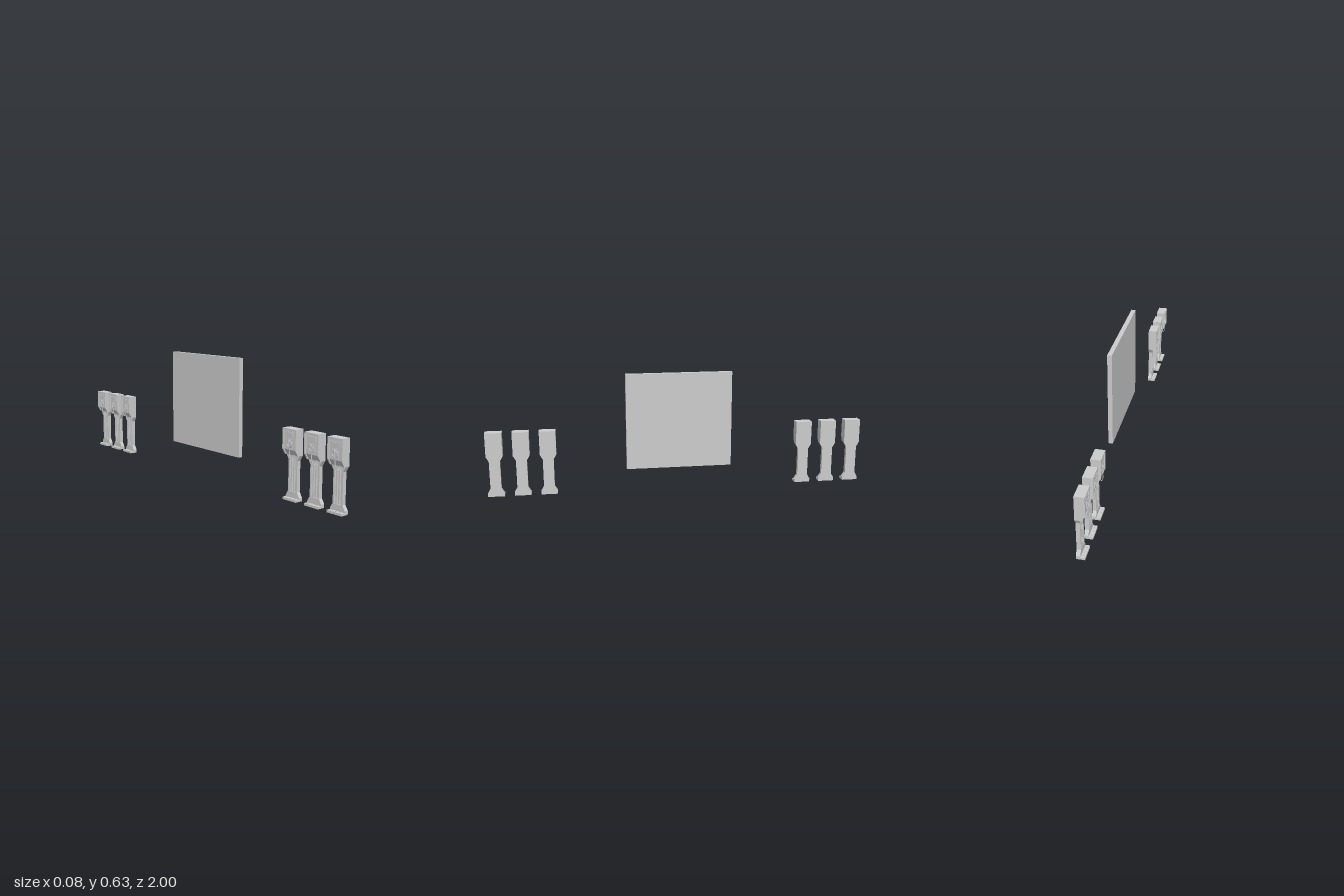
import * as THREE from 'three';

const mat = new THREE.MeshStandardMaterial({ color: 0xcccccc, flatShading: true });
const smooth = new THREE.MeshStandardMaterial({ color: 0xcccccc });
const W = 0.085; // full width of a post

function add(parent, name, geo, x = 0, y = 0, z = 0, m = mat) {
  const mesh = new THREE.Mesh(geo, m);
  mesh.name = name;
  mesh.position.set(x, y, z);
  parent.add(mesh);
  return mesh;
}

const box = (x, y, z) => new THREE.BoxGeometry(x, y, z);
const toShape = pts => new THREE.Shape(pts.map(p => new THREE.Vector2(...p)));
const extrude = (shape, depth) => new THREE.ExtrudeGeometry(shape, { depth, bevelEnabled: false });

// Outline drawn in z/y, extruded from xBack towards -x
const plate = (shape, depth, xBack) =>
  extrude(shape, depth).rotateY(-Math.PI / 2).translate(xBack, 0, 0);

function tube(points, radius) {
  const curve = new THREE.CatmullRomCurve3(points.map(p => new THREE.Vector3(...p)));
  return new THREE.TubeGeometry(curve, 32, radius, 8);
}

// Waisted outline of the pedestal
function columnShape() {
  const half = [[W / 2, 0], [W / 2, 0.018], [0.028, 0.042], [0.028, 0.19], [W / 2, 0.215], [W / 2, 0.225]];
  return toShape([...half, ...half.slice().reverse().map(([z, y]) => [-z, y])]);
}

// Side outline of the head, with a sloping chin
const headShape = front => toShape([
  [0.011, 0.215], [0.011, 0.34], [front, 0.34], [front, 0.242], [front + 0.016, 0.215],
]);

function createCharger() {
  const post = new THREE.Group();

  // Pedestal: solid back plate and a slotted front plate
  add(post, 'columnBack', plate(columnShape(), 0.012, 0.011));
  const slotted = columnShape();
  for (const z of [-0.0145, 0, 0.0145]) {
    slotted.holes.push(new THREE.Path([
      [z - 0.005, 0.04], [z - 0.005, 0.205], [z + 0.005, 0.205], [z + 0.005, 0.04],
    ].map(p => new THREE.Vector2(...p))));
  }
  add(post, 'columnFront', plate(slotted, 0.008, -0.001));

  // Foot with anchor bolts
  add(post, 'foot', box(0.041, 0.011, W), -0.0095, 0.0055, 0);
  for (const z of [-0.026, 0, 0.026]) {
    add(post, 'anchorBolt', new THREE.CylinderGeometry(0.004, 0.004, 0.003, 6), -0.02, 0.012, z);
  }

  // Head: recessed core between two cheeks and a top rim
  add(post, 'headCore', extrude(headShape(-0.031), W - 0.016), 0, 0, -W / 2 + 0.008);
  for (const s of [-1, 1]) {
    add(post, 'headCheek', extrude(headShape(-0.0375), 0.008), 0, 0, s * (W / 2 - 0.004) - 0.004);
  }
  add(post, 'topRim', box(0.008, 0.009, W - 0.016), -0.0335, 0.3355, 0);

  // Screen and its bezel
  add(post, 'screenBezel', box(0.004, 0.026, 0.05), -0.032, 0.311, 0);
  add(post, 'screen', box(0.002, 0.018, 0.042), -0.0345, 0.311, 0);

  // Holster panel, ring and plug handle
  add(post, 'holsterPanel', box(0.004, 0.05, 0.04), -0.032, 0.267, 0);
  const ring = add(post, 'holsterRing', new THREE.TorusGeometry(0.015, 0.0022, 8, 24), -0.0345, 0.268, 0, smooth);
  ring.rotation.y = Math.PI / 2;
  add(post, 'plugHandle', tube([
    [-0.033, 0.288, 0], [-0.0385, 0.28, 0], [-0.0395, 0.265, 0], [-0.0385, 0.252, 0], [-0.034, 0.24, 0],
  ], 0.0025), 0, 0, 0, smooth);

  // Hanging cable from the plug back to the underside of the head
  add(post, 'cable', tube([
    [-0.034, 0.242, 0], [-0.0345, 0.22, 0.003], [-0.031, 0.199, 0.006], [-0.0245, 0.191, 0.009],
    [-0.018, 0.198, 0.012], [-0.0155, 0.218, 0.014],
  ], 0.0017), 0, 0, 0, smooth);
  return post;
}

export function createModel() {
  const model = new THREE.Group();
  model.name = 'chargingStation';

  // Central panel
  add(model, 'displayPanel', box(0.023, 0.503, 0.555), 0.0285, 0.3785, 0.002);

  // Three chargers on each side
  for (const side of [-1, 1]) {
    for (let i = 0; i < 3; i++) {
      const charger = createCharger();
      charger.name = `charger${side < 0 ? 'Back' : 'Front'}${i + 1}`;
      charger.position.z = side * (0.9575 - i * 0.1365);
      model.add(charger);
    }
  }
  return model;
}
